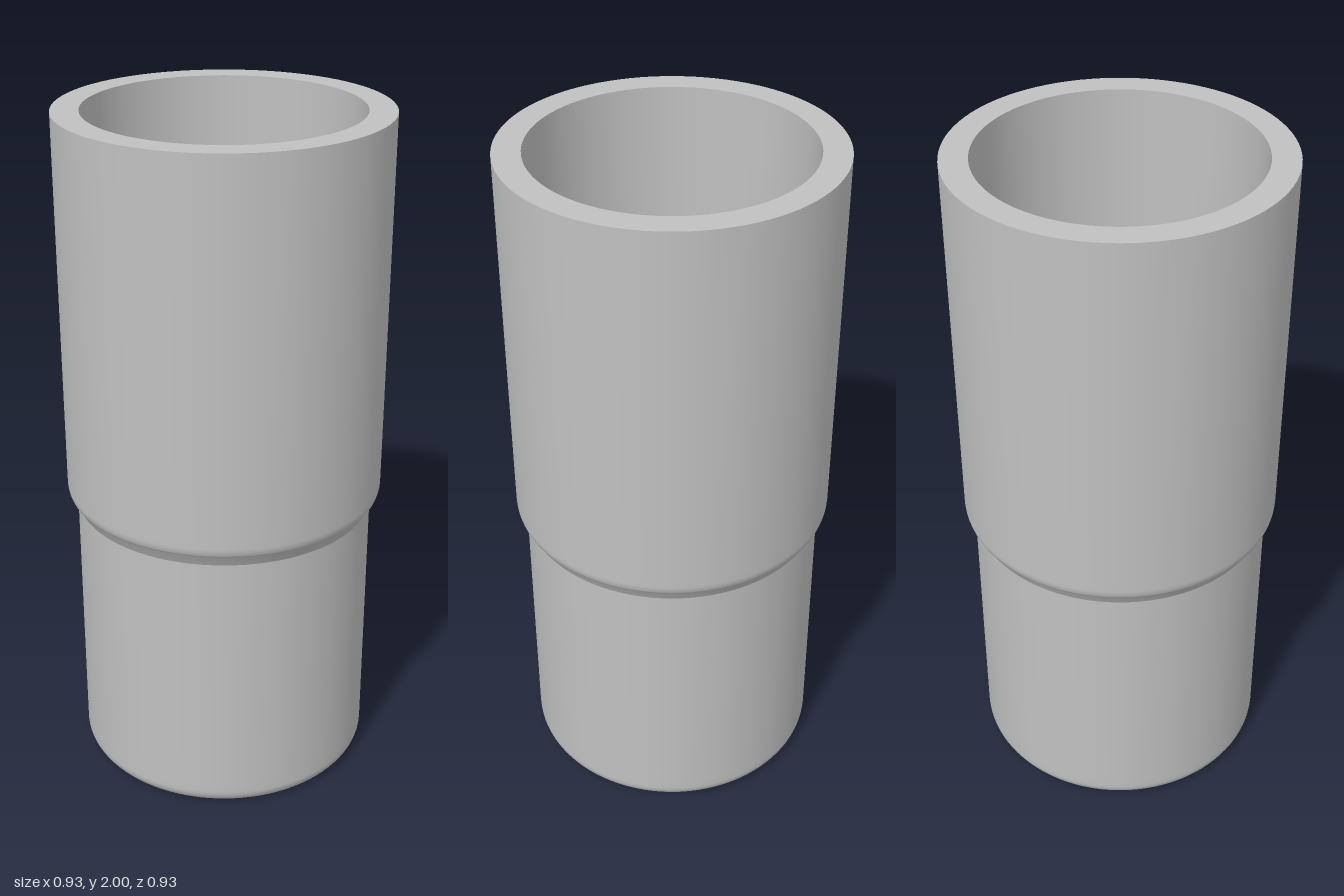
import * as THREE from 'three';

const SEGMENTS = 96;

export function createModel() {
  const group = new THREE.Group();
  group.name = 'steppedSleeve';

  const grey = new THREE.MeshStandardMaterial({ color: 0xc0c0c0 });
  grey.name = 'plain grey';

  // Each surface is its own lathe, so edges between surfaces stay sharp.
  const addSurface = (name, points) => {
    const profile = points.map(([r, y]) => new THREE.Vector2(r, y));
    const mesh = new THREE.Mesh(new THREE.LatheGeometry(profile, SEGMENTS), grey);
    mesh.name = name;
    group.add(mesh);
  };

  // Quarter arc centred on (cx, cy), from angle a to angle b
  const arc = (cx, cy, r, a, b, steps = 8) =>
    Array.from({ length: steps + 1 }, (_, i) => {
      const t = a + ((b - a) * i) / steps;
      return [cx + r * Math.cos(t), cy + r * Math.sin(t)];
    });

  const outer = 0.467, lower = 0.438, bore = 0.389, hole = 0.186, mouth = 0.315;
  const fillet = 0.048, floorY = 0.88, coneY = 0.13;

  // Outside, from the bottom up
  addSurface('bottomFace', [[mouth, 0], [lower - fillet, 0]]);
  addSurface('lowerBody', [
    ...arc(lower - fillet, fillet, fillet, -Math.PI / 2, 0),
    [lower, 0.07], [lower, 0.835],
  ]);
  addSurface('upperBody', [
    [lower, 0.835], [0.457, 0.872],
    ...arc(outer - 0.06, 0.9, 0.06, -0.45, 0, 5),
    [outer, 0.92], [outer, 2],
  ]);
  addSurface('topRim', [[outer, 2], [bore, 2]]);

  // Inside, from the top down
  addSurface('boreWall', [[bore, 2], [bore, floorY]]);
  addSurface('boreFloor', [[bore, floorY], [hole, floorY]]);
  addSurface('holeWall', [[hole, floorY], [hole, coneY]]);
  addSurface('bottomCountersink', [[hole, coneY], [mouth, 0]]);

  return group;
}
